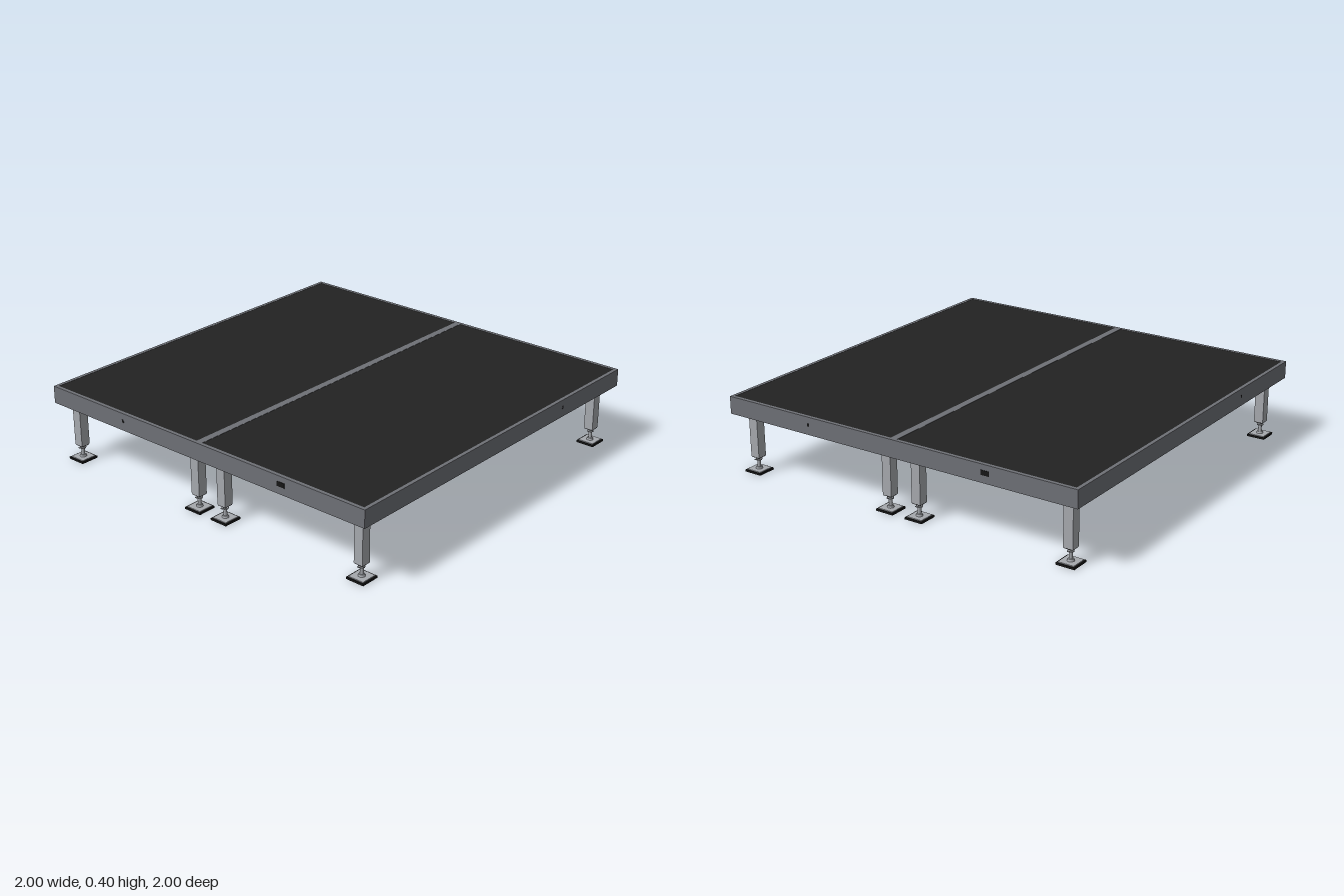
import * as THREE from 'three';

export function createModel() {
  const model = new THREE.Group();
  model.name = 'stagePlatform';

  const mat = (name, color, extra = {}) => {
    const m = new THREE.MeshStandardMaterial({ color, ...extra });
    m.name = name;
    return m;
  };
  const frameGrey = mat('frame grey', 0x6e7076);
  const steel = mat('light steel', 0xa6a9ae);
  const deckBlack = mat('deck black', 0x222222);
  const rubber = mat('black rubber', 0x161616);
  const bracketGrey = mat('bracket grey', 0x3a3b3f);

  const add = (parent, name, geometry, material, x = 0, y = 0, z = 0) => {
    const mesh = new THREE.Mesh(geometry, material);
    mesh.name = name;
    mesh.position.set(x, y, z);
    parent.add(mesh);
    return mesh;
  };
  const box = (parent, name, w, h, d, material, x, y, z) =>
    add(parent, name, new THREE.BoxGeometry(w, h, d), material, x, y, z);

  // Adjustable leg: socket, square tube, threaded spindle, nut and foot
  function createLeg() {
    const leg = new THREE.Group();
    leg.name = 'leg';
    box(leg, 'legSocket', 0.07, 0.012, 0.085, rubber, 0, 0.308, 0);
    box(leg, 'legTube', 0.05, 0.226, 0.05, steel, 0, 0.193, 0);
    box(leg, 'tubeEndCap', 0.046, 0.006, 0.046, rubber, 0, 0.079, 0);
    add(leg, 'spindle', new THREE.CylinderGeometry(0.009, 0.009, 0.066, 12), steel, 0, 0.046, 0);
    add(leg, 'lockNut', new THREE.CylinderGeometry(0.018, 0.018, 0.006, 6), steel, 0, 0.062, 0);
    box(leg, 'nutHandle', 0.05, 0.004, 0.01, steel, 0, 0.066, 0);
    box(leg, 'footPad', 0.098, 0.01, 0.098, rubber, 0, 0.005, 0);
    box(leg, 'footPlate', 0.084, 0.004, 0.084, steel, 0, 0.012, 0);
    add(leg, 'footCollar', new THREE.CylinderGeometry(0.014, 0.018, 0.012, 12), steel, 0, 0.018, 0);
    return leg;
  }

  // Triangular corner gusset that carries a leg
  const triangle = new THREE.Shape([[0, 0], [0.17, 0], [0, 0.17]].map(p => new THREE.Vector2(...p)));
  const gusset = new THREE.ExtrudeGeometry(triangle, { depth: 0.008, bevelEnabled: false });
  gusset.rotateX(Math.PI / 2);

  // One deck, 2 wide and 1 deep
  function createDeck() {
    const deck = new THREE.Group();
    deck.name = 'deck';
    box(deck, 'deckPanel', 1.964, 0.022, 0.964, deckBlack, 0, 0.388, 0);

    for (const s of [-1, 1]) {
      // Outer rails, with ledges under the panel and lips along the bottom
      box(deck, 'longRail', 2, 0.09, 0.018, frameGrey, 0, 0.355, s * 0.491);
      box(deck, 'shortRail', 0.018, 0.09, 0.964, frameGrey, s * 0.991, 0.355, 0);
      box(deck, 'longLip', 1.964, 0.008, 0.02, frameGrey, 0, 0.314, s * 0.472);
      box(deck, 'shortLip', 0.02, 0.008, 0.924, frameGrey, s * 0.972, 0.314, 0);
      box(deck, 'longLedge', 1.964, 0.008, 0.028, frameGrey, 0, 0.373, s * 0.468);
      box(deck, 'shortLedge', 0.028, 0.008, 0.908, frameGrey, s * 0.968, 0.373, 0);
    }

    // Cross bars under the panel
    for (const x of [-0.5, 0, 0.5])
      box(deck, 'crossBar', 0.032, 0.036, 0.964, frameGrey, x, 0.359, 0);

    for (const sx of [-1, 1]) for (const sz of [-1, 1]) {
      const leg = createLeg();
      leg.position.set(sx * 0.915, 0, sz * 0.415);
      deck.add(leg);
      // Quarter turns keep the gusset faces pointing outward
      const plate = add(deck, 'cornerGusset', gusset, bracketGrey, sx * 0.98, 0.322, sz * 0.48);
      plate.rotation.y = sx < 0 ? (sz < 0 ? 0 : Math.PI / 2) : (sz < 0 ? -Math.PI / 2 : Math.PI);
    }
    return deck;
  }

  for (const s of [-1, 1]) {
    const deck = createDeck();
    deck.position.z = s * 0.5;
    model.add(deck);
  }

  // Clamps joining the two decks from below
  for (const x of [-0.5, 0.5]) {
    const clamp = new THREE.Group();
    clamp.name = 'deckClamp';
    clamp.position.x = x;
    box(clamp, 'clampPlate', 0.07, 0.012, 0.07, frameGrey, 0, 0.304, 0);
    box(clamp, 'clampJaw', 0.05, 0.008, 0.05, rubber, 0, 0.294, 0);
    for (const s of [-1, 1])
      box(clamp, 'clampEnd', 0.05, 0.022, 0.005, bracketGrey, 0, 0.299, s * 0.034);
    add(clamp, 'clampBolt', new THREE.CylinderGeometry(0.01, 0.01, 0.008, 6), steel, 0, 0.29, 0);
    model.add(clamp);
  }

  // Coupling lock openings on the outer rails
  for (const s of [-1, 1]) {
    box(model, 'endLockPlate', 0.004, 0.024, 0.045, rubber, s, 0.36, s * -0.52);
    box(model, 'endKeyHole', 0.003, 0.014, 0.012, rubber, s, 0.36, s * 0.5);
    box(model, 'sideKeyHole', 0.01, 0.014, 0.003, rubber, s * 0.5, 0.36, s);
  }

  return model;
}
